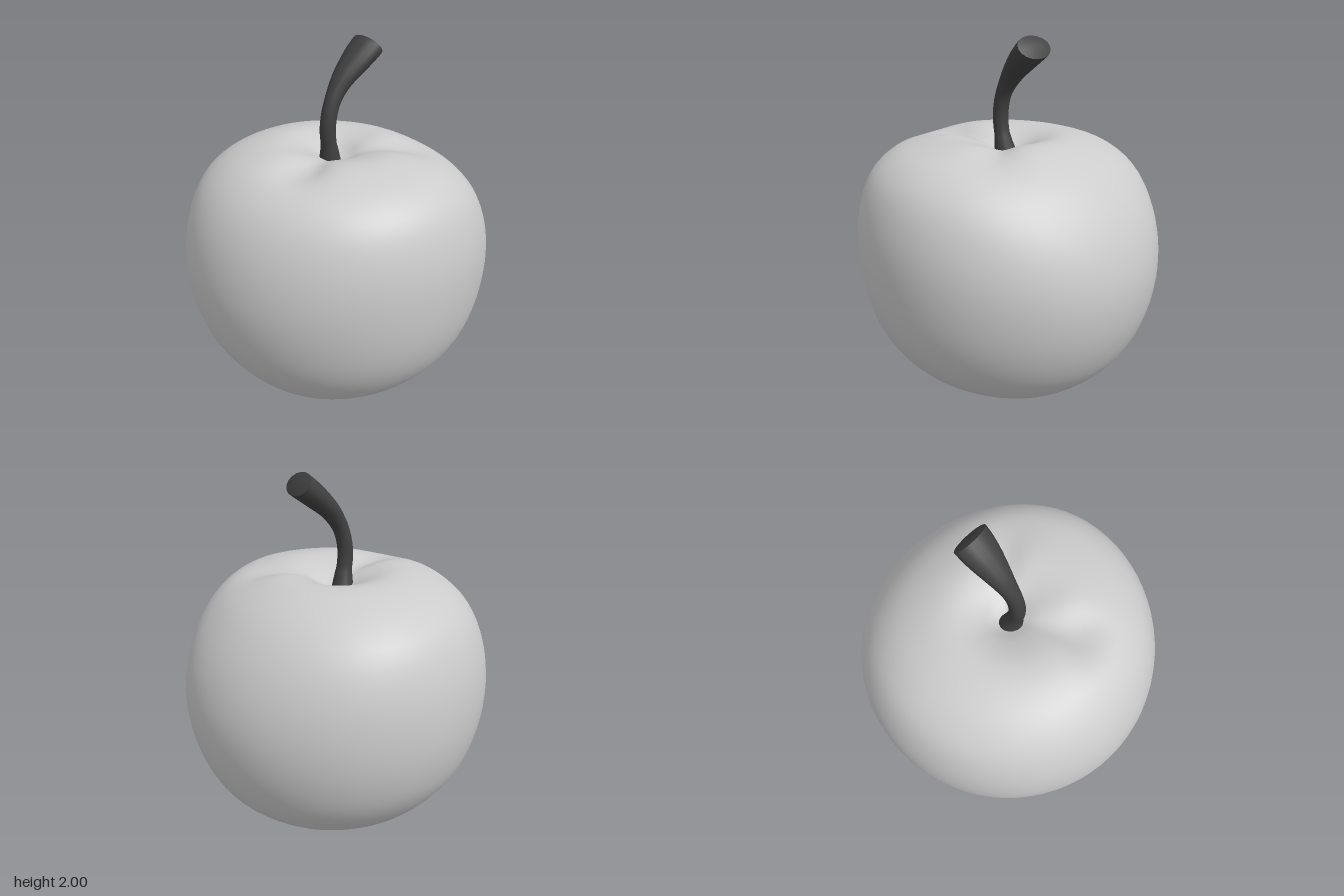
import * as THREE from 'three';
import { mergeVertices, toCreasedNormals } from 'three/addons/utils/BufferGeometryUtils.js';

// Half profiles (radius, height), bottom to top, one for each side of the fruit
const toCurve = (pts) => new THREE.SplineCurve(pts.map(([r, y]) => new THREE.Vector2(r, y)));
const sides = {
  left: toCurve([[0, 0.07], [0.1, 0.055], [0.22, 0.033], [0.36, 0.05], [0.52, 0.115], [0.7, 0.28], [0.81, 0.5], [0.852, 0.74],
    [0.825, 0.95], [0.74, 1.14], [0.6, 1.31], [0.44, 1.415], [0.29, 1.46], [0.16, 1.43], [0.07, 1.37], [0, 1.345]]),
  right: toCurve([[0, 0.07], [0.1, 0.05], [0.22, 0.03], [0.38, 0.058], [0.56, 0.16], [0.72, 0.35], [0.81, 0.55], [0.853, 0.8],
    [0.825, 1.05], [0.74, 1.25], [0.61, 1.38], [0.46, 1.445], [0.31, 1.458], [0.17, 1.42], [0.07, 1.37], [0, 1.345]]),
  front: toCurve([[0, 0.07], [0.1, 0.05], [0.22, 0.032], [0.38, 0.07], [0.58, 0.19], [0.73, 0.38], [0.81, 0.6], [0.84, 0.86],
    [0.825, 1.08], [0.76, 1.27], [0.64, 1.385], [0.48, 1.44], [0.33, 1.458], [0.18, 1.425], [0.07, 1.37], [0, 1.345]]),
  back: toCurve([[0, 0.07], [0.1, 0.05], [0.22, 0.032], [0.38, 0.06], [0.58, 0.18], [0.74, 0.38], [0.815, 0.58], [0.842, 0.8],
    [0.82, 1.04], [0.74, 1.25], [0.61, 1.37], [0.44, 1.44], [0.29, 1.458], [0.17, 1.42], [0.07, 1.36], [0, 1.345]]),
};

// Shallow valleys running out from the stem: direction, spread, depth, radius of deepest point
const valleys = [
  { x: -0.92, z: 0.4, spread: 0.3, depth: 0.055, at: 0.36 },
  { x: 0.7, z: 0.71, spread: 0.3, depth: 0.045, at: 0.34 },
];

function fruitGeometry() {
  const rings = 60, segments = 72;
  const blank = Array.from({ length: rings + 1 }, (_, j) => new THREE.Vector2(1, j));
  const geo = new THREE.LatheGeometry(blank, segments);
  const pos = geo.attributes.position;
  for (let i = 0; i < pos.count; i++) {
    const a = Math.floor(i / (rings + 1)) % segments / segments * Math.PI * 2;
    const t = (i % (rings + 1)) / rings;
    const dx = Math.sin(a), dz = Math.cos(a);
    // blend the two nearest side profiles
    const p = (dx > 0 ? sides.left : sides.right).getPoint(t).multiplyScalar(dx * dx)
      .add((dz > 0 ? sides.front : sides.back).getPoint(t).multiplyScalar(dz * dz));
    const r = t === 0 || t === 1 ? 0 : p.x;
    let y = p.y;
    if (y > 0.9) {
      for (const v of valleys) {
        const off = Math.acos(Math.min(1, Math.max(-1, dx * v.x + dz * v.z)));
        y -= v.depth * Math.exp(-((off / v.spread) ** 2) - ((r - v.at) / 0.17) ** 2);
      }
    }
    pos.setXYZ(i, r * dx, y, r * dz);
  }
  geo.deleteAttribute('uv');
  geo.deleteAttribute('normal');
  const merged = mergeVertices(geo, 1e-4);
  merged.computeVertexNormals();
  return merged;
}

// Curved stalk: a tube whose rings flare at the foot and toward the cut end
function stemGeometry() {
  const path = new THREE.CatmullRomCurve3([
    [-0.03, 1.31, -0.015], [-0.05, 1.42, 0], [-0.065, 1.55, 0.005], [-0.04, 1.67, 0.005],
    [0.03, 1.78, 0], [0.12, 1.865, 0], [0.24, 1.96, 0],
  ].map((p) => new THREE.Vector3(...p)));
  const n = 40, sidesCount = 16;
  const geo = new THREE.TubeGeometry(path, n, 1, sidesCount);
  const pos = geo.attributes.position;
  const v = new THREE.Vector3();
  for (let i = 0; i < pos.count; i++) {
    const k = Math.floor(i / (sidesCount + 1)), t = k / n;
    const c = path.getPointAt(t);
    const foot = 0.025 * Math.max(0, 1 - t * 5);
    const flare = THREE.MathUtils.smoothstep(t, 0.45, 0.97);
    const wide = k === n ? 0 : 0.043 + foot + 0.058 * flare;
    const thin = k === n ? 0 : 0.043 + foot + 0.026 * flare;
    v.fromBufferAttribute(pos, i).sub(c);
    pos.setXYZ(i, c.x + v.x * thin, c.y + v.y * thin, c.z + v.z * wide);
  }
  geo.deleteAttribute('uv');
  geo.deleteAttribute('normal');
  return toCreasedNormals(mergeVertices(geo, 1e-4), 0.8);
}

// Dried blossom end: a small ragged cup under the fruit
function blossomGeometry() {
  const geo = new THREE.CylinderGeometry(0.05, 0.1, 0.07, 12);
  const pos = geo.attributes.position;
  for (let i = 0; i < pos.count; i++) {
    const x = pos.getX(i), z = pos.getZ(i);
    if (pos.getY(i) > 0 || Math.hypot(x, z) < 0.01) continue;
    const a = Math.atan2(z, x);
    const s = 1 + 0.12 * Math.cos(5 * a);
    pos.setXYZ(i, x * s, pos.getY(i) + 0.006 * (1 + Math.sin(3 * a)), z * s);
  }
  geo.translate(0.01, 0.035, -0.005);
  return toCreasedNormals(geo, 0.6);
}

export function createModel() {
  const group = new THREE.Group();
  const skin = new THREE.MeshStandardMaterial({ color: 0xcccccc });
  const bark = new THREE.MeshStandardMaterial({ color: 0x404040 });
  const add = (name, geometry, material) => {
    const mesh = new THREE.Mesh(geometry, material);
    mesh.name = name;
    group.add(mesh);
  };
  add('fruit', fruitGeometry(), skin);
  add('stem', stemGeometry(), bark);
  add('blossomEnd', blossomGeometry(), bark);
  return group;
}
